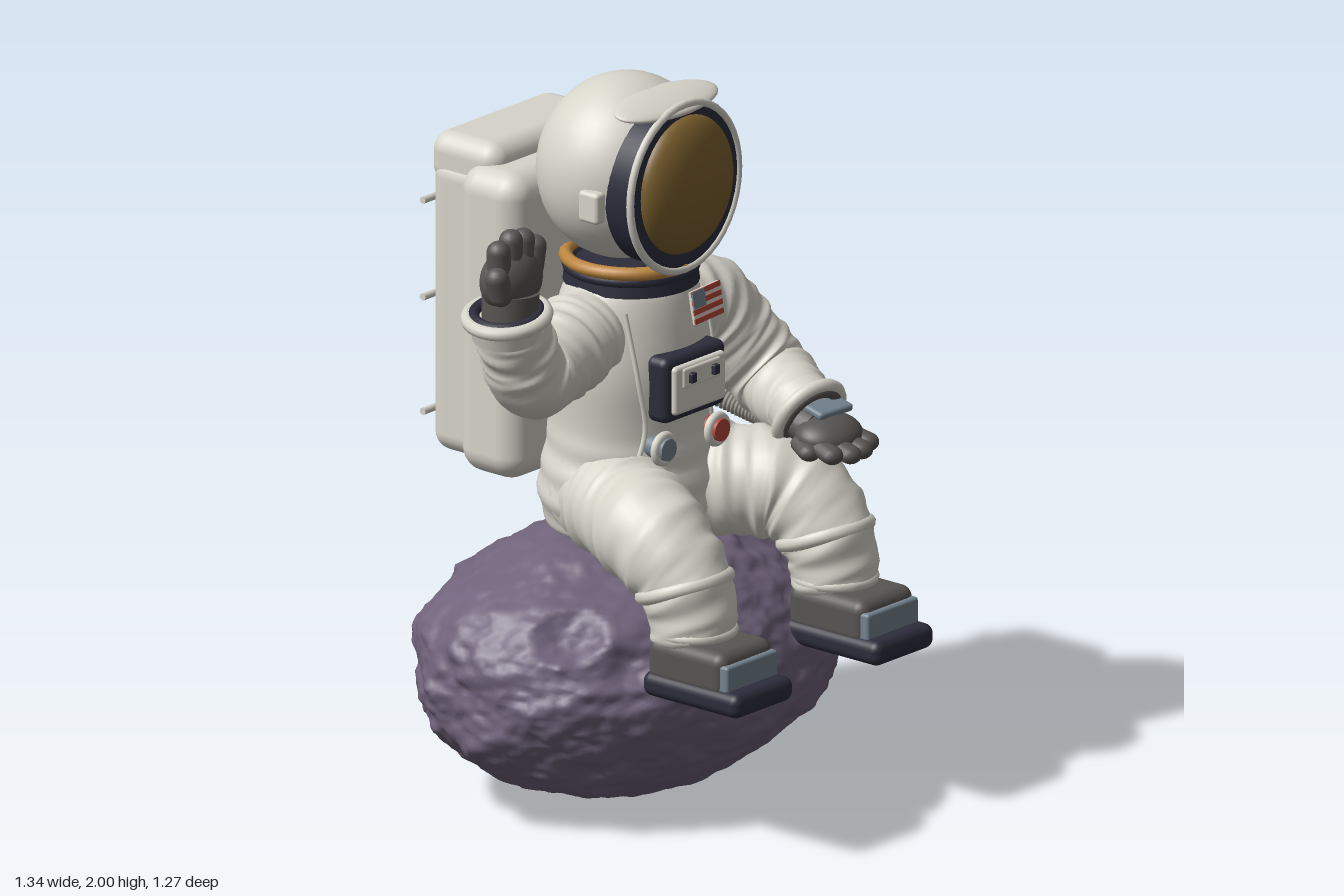
import * as THREE from 'three';
import { mergeVertices } from 'three/addons/utils/BufferGeometryUtils.js';
import { RoundedBoxGeometry } from 'three/addons/geometries/RoundedBoxGeometry.js';

const material = (name, color) => {
  const m = new THREE.MeshStandardMaterial({ color });
  m.name = name;
  return m;
};
const white = material('suit white', 0xd7d4ca);
const rockPurple = material('rock purple', 0x70637b);
const gold = material('visor gold', 0x7c602e);
const orange = material('neck ring orange', 0xbd8640);
const navy = material('dark navy', 0x2c2c3c);
const charcoal = material('charcoal', 0x585553);
const blueGrey = material('blue grey', 0x74838f);
const red = material('red', 0xb5473a);
const hoseGrey = material('hose grey', 0x98958c);

function add(parent, name, geometry, mat, x = 0, y = 0, z = 0) {
  const mesh = new THREE.Mesh(geometry, mat);
  mesh.name = name;
  mesh.position.set(x, y, z);
  parent.add(mesh);
  return mesh;
}
function group(parent, name, x = 0, y = 0, z = 0) {
  const g = new THREE.Group();
  g.name = name;
  g.position.set(x, y, z);
  parent.add(g);
  return g;
}
const V = (x, y, z) => new THREE.Vector3(x, y, z);
const box = (w, h, d, r) => new RoundedBoxGeometry(w, h, d, 3, r);
const ball = (a, b, c) => new THREE.SphereGeometry(1, 40, 26).scale(a, b, c);
const ring = (r, t) => new THREE.TorusGeometry(r, t, 10, 40);
const flatRing = (r, t) => ring(r, t).rotateX(Math.PI / 2);
const disc = (r, d) => new THREE.CylinderGeometry(r, r, d, 48).rotateX(Math.PI / 2);

// Drop seams so normals stay smooth after moving vertices
function smooth(geometry) {
  geometry.deleteAttribute('uv');
  geometry.deleteAttribute('normal');
  const g = mergeVertices(geometry, 1e-5);
  g.computeVertexNormals();
  return g;
}

// Tube whose radius follows a list and a fold rule, closed with rounded ends
function limb(points, radii, fold, segments = 90, sides = 32) {
  const g = new THREE.TubeGeometry(new THREE.CatmullRomCurve3(points), segments, 1, sides);
  const p = g.attributes.position, n = g.attributes.normal;
  for (let i = 0; i < p.count; i++) {
    const t = Math.floor(i / (sides + 1)) / segments;
    const a = (i % (sides + 1)) / sides * Math.PI * 2;
    const f = t * (radii.length - 1), k = Math.min(Math.floor(f), radii.length - 2);
    const e = Math.min(1, t / 0.07, (1 - t) / 0.07);
    const cap = Math.max(0.001, Math.sqrt(1 - (1 - e) ** 2));
    const r = THREE.MathUtils.lerp(radii[k], radii[k + 1], f - k) * cap * (1 + fold(t, a)) - 1;
    p.setXYZ(i, p.getX(i) + n.getX(i) * r, p.getY(i) + n.getY(i) * r, p.getZ(i) + n.getZ(i) * r);
  }
  return smooth(g);
}
const crease = (x) => 0.6 - Math.abs(Math.sin(x));
const clothFold = (t, a) => 0.05 * crease(t * 21 + 1.1 * Math.sin(a)) + 0.04 * crease(t * 33 + 1.6 * Math.cos(a) + 1)
  + 0.012 * Math.sin(t * 90 + 3 * Math.sin(a));

// Lattice noise for the rock
function hash(x, y, z) {
  const s = Math.sin(x * 127.1 + y * 311.7 + z * 74.7) * 43758.5453;
  return s - Math.floor(s);
}
function noise(x, y, z) {
  const i = Math.floor(x), j = Math.floor(y), k = Math.floor(z);
  const s = (t) => t * t * (3 - 2 * t), mix = THREE.MathUtils.lerp;
  const u = s(x - i), v = s(y - j), w = s(z - k);
  const row = (b, c) => mix(hash(i, b, c), hash(i + 1, b, c), u);
  return mix(mix(row(j, k), row(j + 1, k), v), mix(row(j, k + 1), row(j + 1, k + 1), v), w) - 0.5;
}
function rockGeometry() {
  const g = smooth(new THREE.IcosahedronGeometry(1, 40));
  const craters = [[0.8, 0.65, 0.1, 0.2], [0.75, -0.3, 0.7, 0.17], [-0.3, 0.25, 0.9, 0.18],
    [0.55, 0.3, -0.8, 0.27], [0.1, -0.2, -1, 0.24], [-0.5, 0.4, -0.8, 0.2], [0.8, 0, -0.5, 0.18],
    [-0.7, 0.5, 0.4, 0.2], [0.5, 0.3, 0.85, 0.17], [-0.6, -0.6, -0.5, 0.25], [0.2, 0.7, -0.7, 0.16]]
    .map(([x, y, z, r]) => ({ d: V(x, y, z).normalize(), r }));
  const p = g.attributes.position, v = V(0, 0, 0);
  for (let i = 0; i < p.count; i++) {
    v.fromBufferAttribute(p, i).normalize();
    let h = 1;
    for (let o = 0, f = 2.6, a = 0.09; o < 4; o++, f *= 2.1, a *= 0.6) {
      h += a * noise(v.x * f + 9, v.y * f + 5, v.z * f + 3);
    }
    for (const c of craters) {
      const q = v.distanceTo(c.d) / c.r;
      if (q < 1.4) h += q < 1 ? 0.065 * (q * q - 1) + 0.02 * q : 0.02 * (1.4 - q) / 0.4;
    }
    p.setXYZ(i, v.x * h * 0.638, v.y * h * 0.362, v.z * h * 0.497);
  }
  g.computeBoundingBox();
  g.translate(0, -g.boundingBox.min.y, 0);
  g.computeVertexNormals();
  return g;
}

// Glove with fingers along +y and thumb at -x
function glove(parent, name, x, y, z) {
  const g = group(parent, name, x, y, z);
  add(g, 'wrist', new THREE.CylinderGeometry(0.078, 0.075, 0.09, 28), charcoal, 0, 0.02, 0);
  add(g, 'palm', ball(0.103, 0.09, 0.07), charcoal, 0, 0.1, 0);
  [0.155, 0.178, 0.172, 0.145].forEach((top, i) => {
    const f = add(g, 'finger', new THREE.CapsuleGeometry(0.033, 0.06, 6, 16), charcoal, -0.068 + i * 0.047, top + 0.005, 0.012);
    f.rotation.z = 0.12 - i * 0.09;
  });
  const thumb = add(g, 'thumb', new THREE.CapsuleGeometry(0.033, 0.05, 6, 16), charcoal, -0.086, 0.1, 0.03);
  thumb.rotation.z = 0.35;
  return g;
}
function cuff(parent, name, pos, axis, r, sealMaterial) {
  const g = group(parent, name, pos.x, pos.y, pos.z);
  g.quaternion.setFromUnitVectors(V(0, 1, 0), axis.normalize());
  add(g, 'cuffRing', flatRing(r, 0.019), white);
  add(g, 'cuffSleeve', new THREE.CylinderGeometry(r, r * 0.92, 0.06, 40), white, 0, -0.03, 0);
  add(g, 'cuffSeal', flatRing(r * 0.84, 0.016), sealMaterial, 0, 0.008, 0);
}

export function createModel() {
  const model = new THREE.Group();
  model.name = 'seatedAstronaut';
  add(model, 'asteroid', rockGeometry(), rockPurple, 0.02, 0, -0.12);
  const body = group(model, 'astronaut', 0.02);

  // Torso and neck
  const profile = [[0.001, 0.71], [0.2, 0.73], [0.255, 0.78], [0.27, 0.87], [0.25, 0.97], [0.24, 1.06],
    [0.245, 1.2], [0.226, 1.32], [0.195, 1.42], [0.15, 1.47]].map(([r, y]) => new THREE.Vector2(r, y));
  const torso = new THREE.LatheGeometry(new THREE.SplineCurve(profile).getPoints(54), 48);
  const tp = torso.attributes.position;
  for (let i = 0; i < tp.count; i++) {
    const x = tp.getX(i), y = tp.getY(i), z = tp.getZ(i);
    const k = 1 + 0.018 * Math.sin(y * 70 + 2 * Math.sin(Math.atan2(z, x))) * THREE.MathUtils.smoothstep(1.1 - y, 0, 0.2);
    tp.setXYZ(i, x * k, y, z * k * 0.85);
  }
  add(body, 'torso', smooth(torso), white, 0, 0, -0.1);
  add(body, 'collar', new THREE.CylinderGeometry(0.178, 0.185, 0.055, 56), navy, 0, 1.455, -0.095);
  add(body, 'collarEdge', flatRing(0.168, 0.02), navy, 0, 1.472, -0.095);
  add(body, 'neckRing', flatRing(0.177, 0.019), orange, 0, 1.496, -0.095);
  for (const s of [1, -1]) {
    const seam = new THREE.CatmullRomCurve3([V(s * 0.16, 1.39, 0.02), V(s * 0.155, 1.2, 0.064), V(s * 0.135, 1.06, 0.07), V(s * 0.17, 0.95, 0.062)]);
    add(body, 'torsoSeam', new THREE.TubeGeometry(seam, 24, 0.007, 8), white);
    // Waist connectors
    add(body, 'connectorRing', ring(0.037, 0.012), white, s * 0.11, 1.015, 0.115);
    add(body, 'connector', disc(0.031, 0.085), s > 0 ? red : blueGrey, s * 0.11, 1.015, 0.092);
  }

  // Chest control unit
  const chest = group(body, 'chestUnit', 0, 1.18, 0);
  add(chest, 'frame', box(0.255, 0.187, 0.08, 0.025), navy, 0, 0, 0.098);
  add(chest, 'panel', box(0.21, 0.137, 0.03, 0.012), white, 0, 0, 0.138);
  add(chest, 'switchPlate', box(0.155, 0.058, 0.02, 0.008), white, 0, 0.032, 0.149);
  for (const x of [-0.047, 0.047]) add(chest, 'switch', box(0.022, 0.028, 0.024, 0.004), navy, x, 0.032, 0.16);

  // Striped patch
  const patch = group(body, 'patch', 0.11, 1.365, 0.075);
  patch.rotation.set(-0.17, 0.12, 0);
  add(patch, 'patchBase', new THREE.BoxGeometry(0.136, 0.09, 0.009), white);
  for (let i = 0; i < 4; i++) add(patch, 'stripe', new THREE.BoxGeometry(0.136, 0.0145, 0.004), red, 0, 0.0378 - i * 0.0252, 0.005);
  add(patch, 'corner', new THREE.BoxGeometry(0.058, 0.048, 0.004), blueGrey, -0.039, 0.021, 0.007);

  // Helmet
  const helmet = group(body, 'helmet', 0, 1.745, -0.118);
  add(helmet, 'shell', ball(0.253, 0.255, 0.23), white);
  const visor = group(helmet, 'visor', 0, -0.018, 0.118);
  visor.scale.y = 1.05;
  add(visor, 'visorFrame', disc(0.215, 0.1), navy, 0, 0, 0.047);
  add(visor, 'frontRim', ring(0.223, 0.011), white, 0, 0, 0.093);
  add(visor, 'goldGlass', ball(0.185, 0.185, 0.072), gold, 0, 0.007, 0.093);
  const peak = add(helmet, 'peak', ball(0.195, 0.023, 0.08), white, 0, 0.209, 0.146);
  peak.rotation.x = 0.18;
  for (const s of [1, -1]) add(helmet, 'sidePod', box(0.04, 0.088, 0.07, 0.012), white, s * 0.24, -0.04, 0.09);

  // Backpack
  const pack = group(body, 'backpack');
  add(pack, 'frontShell', box(0.605, 0.87, 0.22, 0.07), white, 0, 1.307, -0.36);
  add(pack, 'rearShell', box(0.515, 0.835, 0.19, 0.055), white, 0, 1.31, -0.503);
  add(pack, 'topCover', box(0.5, 0.152, 0.245, 0.055), white, 0, 1.72, -0.488);
  for (const y of [1.605, 1.33, 1.005]) {
    add(pack, 'rail', new THREE.CylinderGeometry(0.01, 0.01, 0.55, 14).rotateZ(Math.PI / 2), white, 0, y, -0.599);
  }
  const hosePath = [V(0.24, 1.02, -0.4), V(0.36, 1.01, -0.4), V(0.49, 0.95, -0.3), V(0.55, 0.892, -0.12),
    V(0.515, 0.89, 0.03), V(0.43, 0.94, 0.14), V(0.35, 1.01, 0.17)];
  add(body, 'airHose', limb(hosePath, [0.029, 0.029], (t) => 0.08 * Math.sin(t * Math.PI * 150), 480, 10), hoseGrey);

  // Raised right arm
  add(body, 'rightArm', limb([V(-0.12, 1.32, -0.1), V(-0.3, 1.295, -0.09), V(-0.44, 1.27, -0.07), V(-0.505, 1.36, -0.06), V(-0.56, 1.48, -0.05)],
    [0.125, 0.13, 0.12, 0.108, 0.1], clothFold), white);
  cuff(body, 'rightCuff', V(-0.565, 1.475, -0.05), V(-0.18, 1, 0.05), 0.107, navy);
  glove(body, 'rightGlove', -0.565, 1.48, -0.04).rotation.z = -0.06;

  // Resting left arm
  add(body, 'leftArm', limb([V(0.12, 1.32, -0.1), V(0.28, 1.285, -0.085), V(0.38, 1.16, -0.035), V(0.42, 1.065, 0.05), V(0.365, 1.04, 0.17), V(0.315, 1.035, 0.265)],
    [0.125, 0.135, 0.125, 0.117, 0.105, 0.09], clothFold), white);
  cuff(body, 'leftCuff', V(0.322, 1.035, 0.258), V(-0.15, -0.45, 0.87), 0.1, charcoal);
  const hand = glove(body, 'leftGlove', 0.315, 1.02, 0.25);
  hand.rotation.set(Math.PI / 2 + 0.22, 0, 0.05);
  hand.scale.set(1, 0.92, 0.75);
  add(hand, 'handPlate', box(0.13, 0.08, 0.03, 0.012), blueGrey, 0.02, 0.06, -0.076);

  // Legs and boots
  for (const s of [1, -1]) {
    const leg = group(body, s > 0 ? 'leftLeg' : 'rightLeg');
    add(leg, 'trouser', limb([V(s * 0.1, 0.85, -0.14), V(s * 0.19, 0.845, 0.06), V(s * 0.28, 0.825, 0.24), V(s * 0.29, 0.72, 0.35), V(s * 0.29, 0.55, 0.385)],
      [0.15, 0.152, 0.152, 0.13, 0.112], clothFold), white);
    // Gathered cloth below the knee and at the ankle
    const gather = add(leg, 'kneeFold', flatRing(0.118, 0.022), white, s * 0.29, 0.725, 0.345);
    gather.rotation.x = -0.35;
    add(leg, 'ankleRing', flatRing(0.102, 0.017), white, s * 0.29, 0.612, 0.38);
    add(leg, 'bootUpper', box(0.225, 0.13, 0.275, 0.035), charcoal, s * 0.29, 0.535, 0.435);
    add(leg, 'bootSole', box(0.245, 0.07, 0.345, 0.028), navy, s * 0.29, 0.466, 0.462);
    add(leg, 'toePanel', box(0.21, 0.08, 0.04, 0.01), blueGrey, s * 0.29, 0.53, 0.567);
  }
  return model;
}
